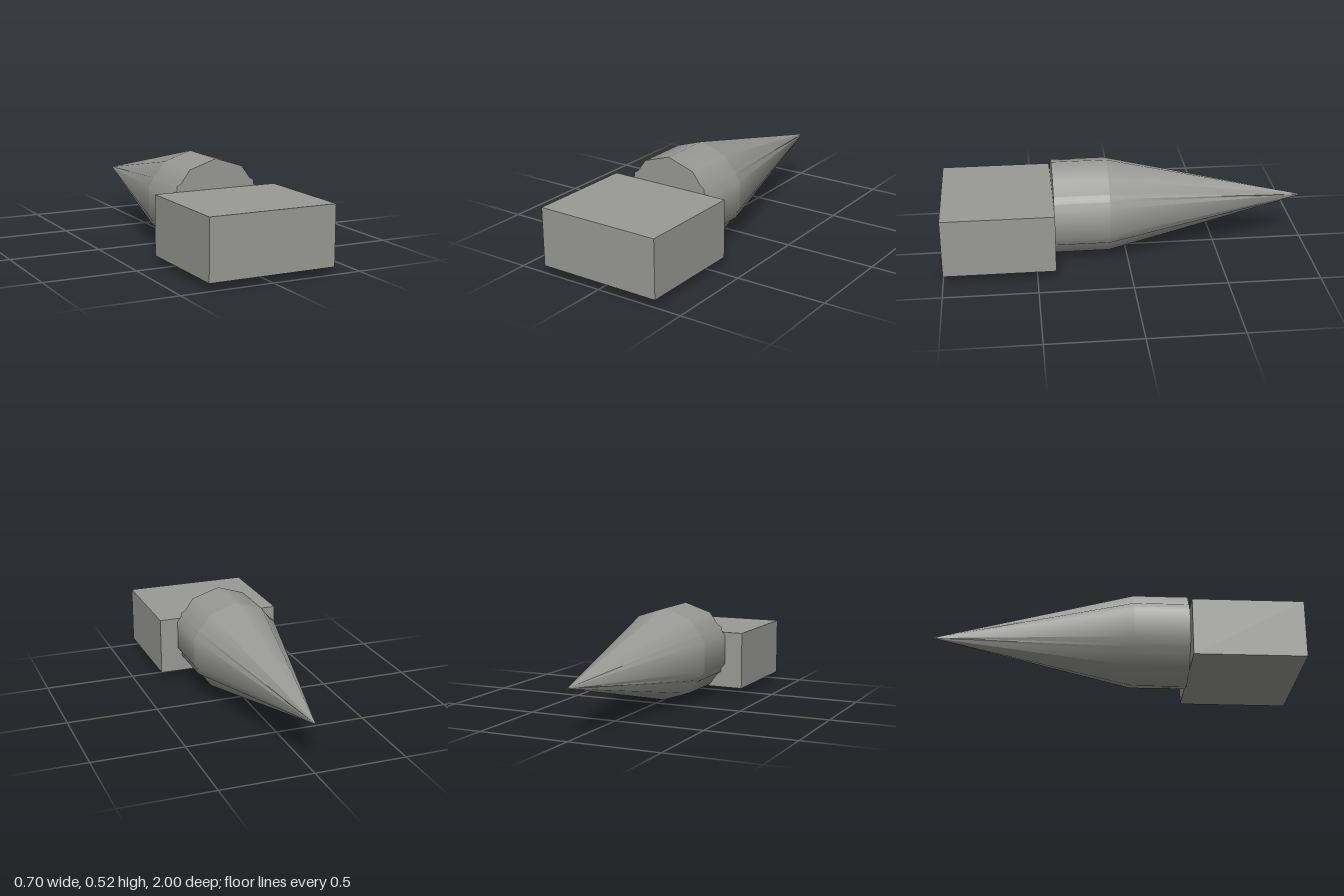
import * as THREE from 'three';

const RADIUS = 0.26;

export function createModel() {
  const model = new THREE.Group();
  const grey = new THREE.MeshStandardMaterial({ color: 0x999996 });
  grey.name = 'grey';

  const add = (name, geometry, y, z) => {
    const mesh = new THREE.Mesh(geometry, grey);
    mesh.name = name;
    mesh.position.set(0, y, z);
    model.add(mesh);
  };

  // Rectangular block at the front
  add('block', new THREE.BoxGeometry(0.7, 0.32, 0.6), 0.2, 0.7);

  // Two interlocking shells, ten-sided and six-sided, each a barrel with a long spike to the rear
  for (const [label, sides] of [['tenSided', 10], ['sixSided', 6]]) {
    const barrel = new THREE.CylinderGeometry(RADIUS, RADIUS, 0.3, sides).rotateX(-Math.PI / 2);
    const spike = new THREE.ConeGeometry(RADIUS, 1.1, sides).rotateX(-Math.PI / 2);
    add(label + 'Barrel', barrel, RADIUS, 0.25);
    add(label + 'Spike', spike, RADIUS, -0.45);
  }

  return model;
}
